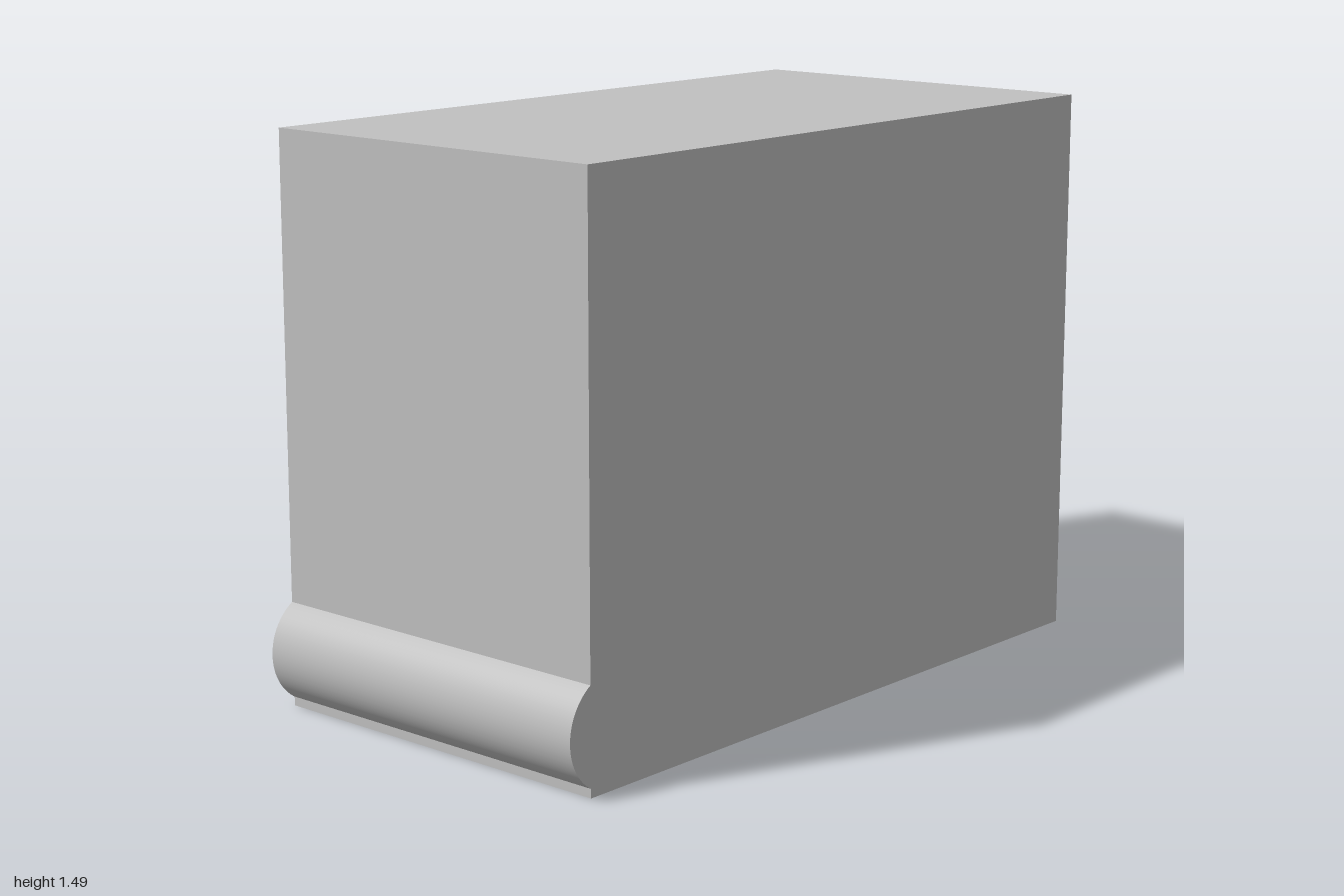
import * as THREE from 'three';

export function createModel() {
  const model = new THREE.Group();
  const grey = new THREE.MeshStandardMaterial({ color: 0xc0c0c0 });
  grey.name = 'plain grey';
  const facetedGrey = grey.clone();
  facetedGrey.name = 'faceted grey';
  facetedGrey.flatShading = true;

  const left = -0.45, right = 0.59, height = 1.49;
  const back = -1, front = 0.93;
  const width = right - left, depth = front - back;

  const add = (name, geometry, material, x = 0, y = 0, z = 0) => {
    const mesh = new THREE.Mesh(geometry, material);
    mesh.name = name;
    mesh.position.set(x, y, z);
    model.add(mesh);
  };

  // Main block
  add('body', new THREE.BoxGeometry(width, height, depth), grey,
    (left + right) / 2, height / 2, (front + back) / 2);

  // Rounded bar along the foot of the front: a circle segment extruded across x
  const barRadius = 0.149, barY = 0.15, barZ = 1 - barRadius;
  const half = Math.acos((front - barZ) / barRadius);
  const segment = new THREE.Shape();
  segment.absarc(0, 0, barRadius, -half, half, false);
  segment.closePath();
  const bar = new THREE.ExtrudeGeometry(segment, { depth: width, bevelEnabled: false, curveSegments: 48 });
  bar.rotateY(-Math.PI / 2); // shape x becomes z, depth runs to -x
  add('frontBar', bar, grey, right, barY, barZ);

  // Faceted half-sphere bumps on the -x side
  const r = 0.152;
  const profile = [90, 75, 45, 15].map((deg) => {
    const a = THREE.MathUtils.degToRad(deg);
    const ring = deg === 90 ? 75 : deg; // straight-sided base band
    return new THREE.Vector2(r * Math.sin(THREE.MathUtils.degToRad(ring)), r * Math.cos(a));
  });
  profile.push(new THREE.Vector2(0, profile[3].y));
  const bump = new THREE.LatheGeometry(profile, 11);
  bump.rotateZ(Math.PI / 2);
  const step = height / 4;
  [[1, 0.22], [2, 0.22], [3, 0.22], [1, 0.593], [3, 0.593]].forEach(([row, z]) =>
    add('sideBump', bump, facetedGrey, left, row * step, z));

  return model;
}
